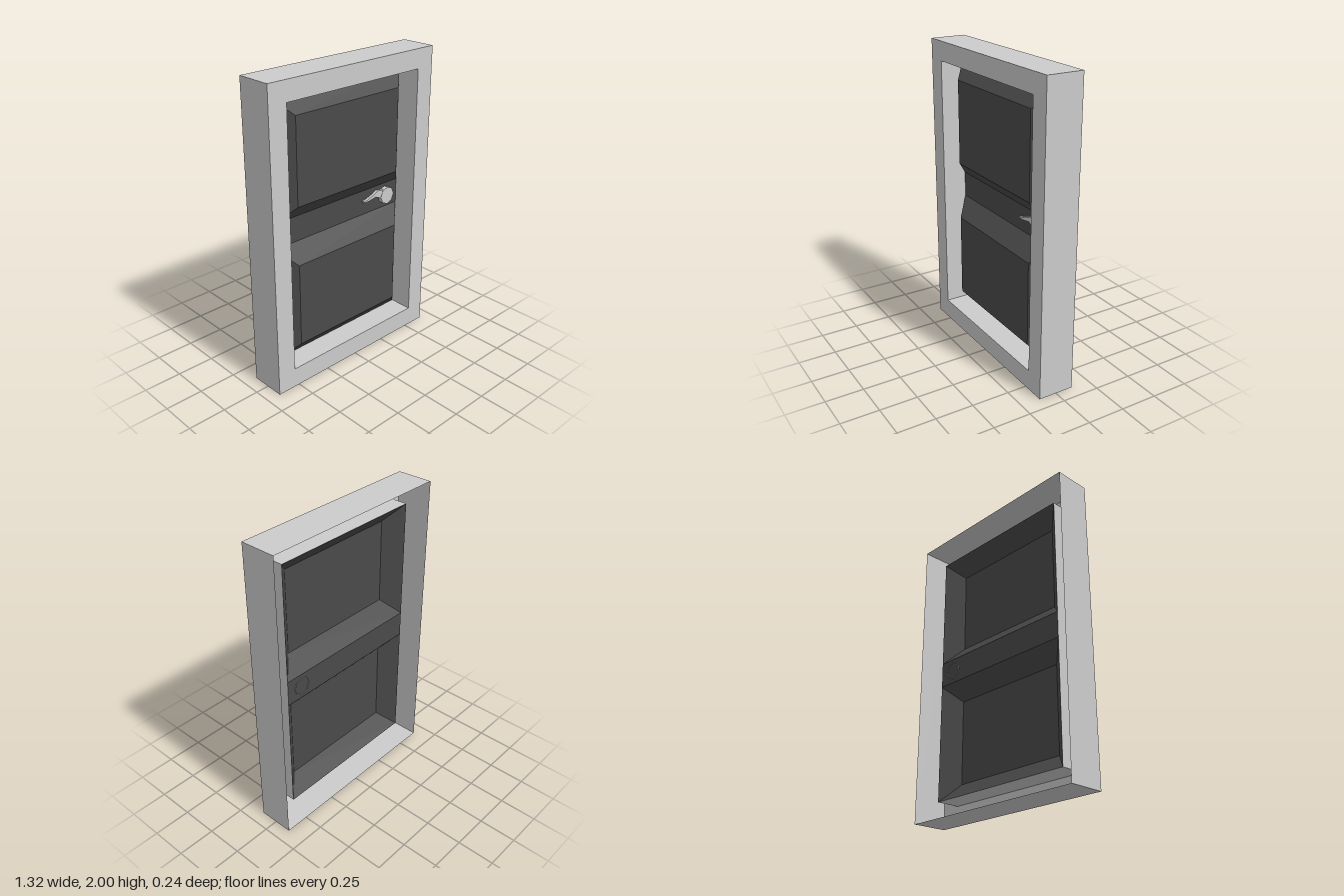
import * as THREE from 'three';

const grey = new THREE.MeshStandardMaterial({ color: 0xcccccc, flatShading: true, side: THREE.DoubleSide });
const dark = new THREE.MeshStandardMaterial({ color: 0x4a4a4a, flatShading: true, side: THREE.DoubleSide });

// Joins rectangles [halfWidth, bottom, top, z] into a skin; the last may be capped.
function rectLoft(rects, cap = false) {
  const loops = rects.map(([w, b, t, z]) => [[-w, b, z], [w, b, z], [w, t, z], [-w, t, z]]);
  const pos = [];
  const quad = (a, b, c, d) => pos.push(...a, ...b, ...c, ...a, ...c, ...d);
  for (let k = 0; k + 1 < loops.length; k++) {
    for (let i = 0; i < 4; i++) {
      const j = (i + 1) % 4;
      quad(loops[k][i], loops[k][j], loops[k + 1][j], loops[k + 1][i]);
    }
  }
  if (cap) quad(...loops[loops.length - 1]);
  const geo = new THREE.BufferGeometry();
  geo.setAttribute('position', new THREE.Float32BufferAttribute(pos, 3));
  geo.computeVertexNormals();
  return geo;
}

function addMesh(parent, name, geometry, material) {
  const mesh = new THREE.Mesh(geometry, material);
  mesh.name = name;
  parent.add(mesh);
  return mesh;
}

export function createModel() {
  const model = new THREE.Group();
  model.name = 'door';
  const doorZ = -0.04;

  // Frame: outer walls, front face and inner lining, open at the back
  addMesh(model, 'frame', rectLoft([
    [0.66, 0, 2, -0.12],
    [0.66, 0, 2, 0.12],
    [0.532, 0.132, 1.872, 0.12],
    [0.532, 0.132, 1.872, doorZ],
  ]), grey);

  // Door leaf: two bevelled panels raised to the front, with a flat rail between
  const leaf = new THREE.Group();
  leaf.name = 'doorLeaf';
  model.add(leaf);
  const bevel = 0.11;
  for (const [name, b, t] of [['lowerPanel', 0.132, 0.918], ['upperPanel', 1.088, 1.872]]) {
    addMesh(leaf, name, rectLoft([
      [0.532, b, t, doorZ],
      [0.532 - bevel, b + bevel, t - bevel, 0.06],
    ], true), dark);
  }
  addMesh(leaf, 'middleRail', rectLoft([[0.532, 0.918, 1.088, doorZ]], true), dark);

  // Handle: eight-sided rose and a tapering curved lever
  const handle = new THREE.Group();
  handle.name = 'handle';
  model.add(handle);
  const wall = addMesh(handle, 'roseRim', new THREE.CylinderGeometry(0.06, 0.06, 0.034, 8, 1, true).rotateX(Math.PI / 2), grey);
  wall.position.set(0.418, 1.005, -0.027);
  const face = addMesh(handle, 'roseFace', new THREE.CircleGeometry(0.06, 8), grey);
  face.position.set(0.418, 1.005, -0.01);

  const outline = new THREE.Shape([
    [0.4, 1.05], [0.373, 1.057], [0.331, 1.063], [0.288, 1.045], [0.225, 1.024], [0.203, 1.022],
    [0.203, 1.012], [0.246, 1.013], [0.31, 1.024], [0.357, 1.003], [0.4, 1.0],
  ].map(([x, y]) => new THREE.Vector2(x, y)));
  const lever = addMesh(handle, 'lever', new THREE.ExtrudeGeometry(outline, { depth: 0.02, bevelEnabled: false }), grey);
  lever.position.z = -0.032;

  return model;
}
